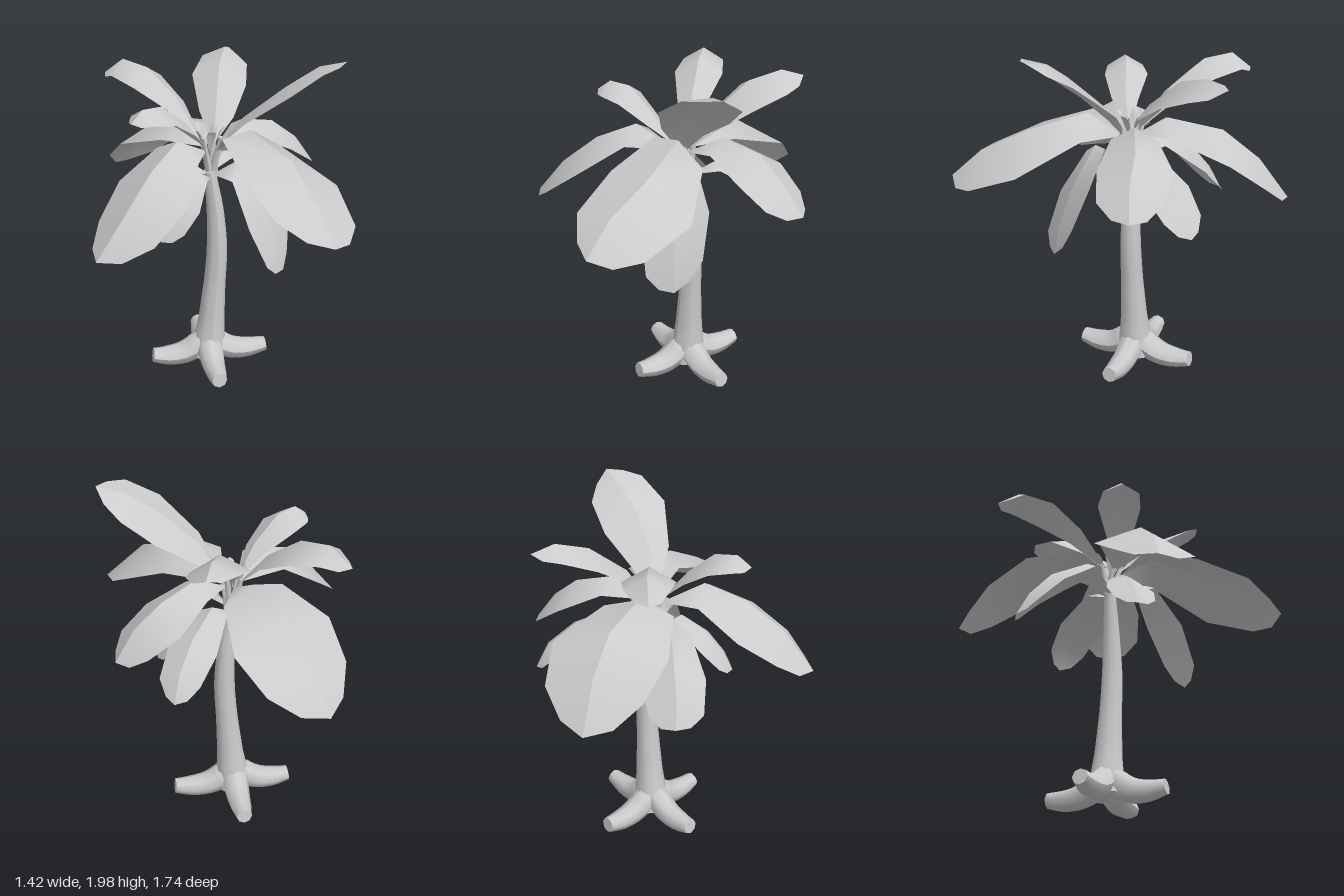
import * as THREE from 'three';

const mat = new THREE.MeshStandardMaterial({ color: 0xcccccc });
const leafMat = new THREE.MeshStandardMaterial({ color: 0xcccccc, side: THREE.DoubleSide });
const V = (p) => new THREE.Vector3(...p);

// Tapering limb: a ring at each sample of a smooth path, closed by flat caps
function limb(name, points, radii, sides = 8, steps = 12) {
  const curve = new THREE.CatmullRomCurve3(points.map(V));
  const geo = new THREE.TubeGeometry(curve, steps, 1, sides);
  const pos = geo.attributes.position, c = new THREE.Vector3(), v = new THREE.Vector3();
  const radiusAt = (t) => {
    const f = t * (radii.length - 1), i = Math.min(Math.floor(f), radii.length - 2);
    return THREE.MathUtils.lerp(radii[i], radii[i + 1], f - i);
  };
  for (let i = 0; i < pos.count; i++) {
    const t = Math.floor(i / (sides + 1)) / steps;
    curve.getPointAt(t, c);
    v.fromBufferAttribute(pos, i).sub(c).multiplyScalar(radiusAt(t)).add(c);
    pos.setXYZ(i, v.x, v.y, v.z);
  }
  geo.computeVertexNormals();
  const group = new THREE.Group();
  group.name = name;
  group.add(new THREE.Mesh(geo, mat));
  for (const t of [0, 1]) {
    const cap = new THREE.Mesh(new THREE.CircleGeometry(radiusAt(t), sides), mat);
    cap.position.copy(curve.getPointAt(t));
    cap.lookAt(cap.position.clone().addScaledVector(curve.getTangentAt(t), t ? 1 : -1));
    group.add(cap);
  }
  group.children.forEach((m) => { m.name = name + 'Part'; });
  return group;
}

// Folded leaf: two smooth halves meeting in a crease along the midrib.
// droop lowers both edges, roll tips one edge up and the other down.
const SPREAD = [0.06, 0.62, 1, 0.84, 0.45];
function leaf(name, rib, width, roll = 0, droop = 0.45) {
  const mid = rib.map(V);
  const dir = mid[4].clone().sub(mid[2]).setY(0).normalize();
  const side = dir.clone().cross(new THREE.Vector3(0, 1, 0));
  const verts = [], index = [];
  for (const s of [1, -1]) {
    const base = verts.length / 3;
    mid.forEach((m, i) => {
      const w = width * SPREAD[i];
      const edge = m.clone();
      if (i === 4) edge.lerp(mid[3], 0.35); // shoulders sit behind the tip
      edge.addScaledVector(side, s * w);
      edge.y += w * (s * roll - droop);
      verts.push(m.x, m.y, m.z, edge.x, edge.y, edge.z);
      if (i < 4) {
        const a = base + i * 2;
        index.push(...(s > 0 ? [a, a + 1, a + 2, a + 1, a + 3, a + 2]
          : [a, a + 2, a + 1, a + 1, a + 2, a + 3]));
      }
    });
  }
  const geo = new THREE.BufferGeometry();
  geo.setAttribute('position', new THREE.Float32BufferAttribute(verts, 3));
  geo.setIndex(index);
  geo.computeVertexNormals();
  const mesh = new THREE.Mesh(geo, leafMat);
  mesh.name = name;
  return mesh;
}

export function createModel() {
  const tree = new THREE.Group();
  tree.name = 'palmTree';

  // Gently bending trunk
  tree.add(limb('trunk',
    [[0, 0.06, -0.06], [0.012, 0.2, -0.06], [0.035, 0.5, -0.055], [0.052, 0.8, -0.05], [0.04, 1.05, -0.05], [0.005, 1.3, -0.045]],
    [0.11, 0.08, 0.066, 0.061, 0.05, 0.035], 10, 20));

  // Four roots spreading in a cross, blunt at the ends
  for (const [i, reach] of [0.365, 0.35, 0.345, 0.355].entries()) {
    const a = (i * Math.PI) / 2;
    const out = (r, y) => [Math.cos(a) * r, y, -0.06 + Math.sin(a) * r];
    tree.add(limb('root', [out(0, 0.2), out(0.06, 0.13), out(0.15, 0.08), out(0.25, 0.068), out(reach, 0.08)],
      [0.06, 0.08, 0.072, 0.062, 0.045]));
  }

  // Thin stalks that carry the crown
  const stalks = [
    [-0.04, 1.52, 0], [0.06, 1.52, 0.01], [-0.04, 1.5, -0.08], [0.04, 1.52, -0.08],
  ];
  for (const [x, y, z] of stalks)
    tree.add(limb('stalk', [[0.025, 1.15, -0.05], [0.01 + x * 0.4, 1.35, -0.04 + z * 0.3], [x, y, z]], [0.028, 0.022, 0.012], 6, 6));

  // Short husks around the heart of the crown
  for (let i = 0; i < 5; i++) {
    const a = i * 1.26 + 0.3, c = Math.cos(a), s = Math.sin(a);
    const p = (r, y) => [c * r, y, s * r - 0.04];
    tree.add(leaf('husk', [p(0.02, 1.42), p(0.04, 1.48), p(0.06, 1.54), p(0.08, 1.57), p(0.1, 1.57)], 0.025));
  }

  // Upper leaves
  tree.add(
    leaf('upperLeaf', [[0.03, 1.45, 0], [0.17, 1.66, 0.09], [0.38, 1.84, 0.16], [0.56, 1.95, 0.18], [0.7, 1.98, 0.22]], 0.2, 0.3, 0.28),
    leaf('upperLeaf', [[-0.03, 1.47, 0], [-0.15, 1.64, 0.08], [-0.29, 1.77, 0.14], [-0.4, 1.78, 0.2], [-0.47, 1.72, 0.24]], 0.125, 0, 0.6),
    leaf('upperLeaf', [[-0.03, 1.47, -0.06], [-0.16, 1.7, -0.2], [-0.3, 1.84, -0.34], [-0.42, 1.86, -0.46], [-0.52, 1.76, -0.54]], 0.14, 0, 0.6),
    leaf('upperLeaf', [[0.03, 1.47, -0.06], [0.07, 1.65, -0.17], [0.13, 1.82, -0.38], [0.2, 1.87, -0.55], [0.25, 1.83, -0.67]], 0.16, -0.15, 0.6),
  );

  // Broad leaves arching outward
  tree.add(
    leaf('broadLeaf', [[0.05, 1.45, 0.02], [0.2, 1.6, 0.14], [0.36, 1.51, 0.42], [0.42, 1.37, 0.7], [0.47, 1.21, 0.87]], 0.285, 0.25, 0.4),
    leaf('broadLeaf', [[-0.04, 1.45, 0.01], [-0.21, 1.57, 0.15], [-0.38, 1.47, 0.31], [-0.54, 1.3, 0.45], [-0.71, 1.08, 0.53]], 0.265, 0, 0.5),
    leaf('broadLeaf', [[0.05, 1.45, -0.04], [0.22, 1.56, -0.15], [0.42, 1.5, -0.25], [0.58, 1.37, -0.29], [0.69, 1.21, -0.34]], 0.205, 0, 0.55),
    leaf('broadLeaf', [[-0.02, 1.45, -0.07], [-0.08, 1.54, -0.22], [-0.18, 1.48, -0.51], [-0.27, 1.31, -0.7], [-0.36, 1.07, -0.85]], 0.325, 0, 0.32),
  );

  // Lower drooping leaves
  tree.add(
    leaf('lowerLeaf', [[0.03, 1.3, 0], [0.15, 1.4, 0.12], [0.26, 1.2, 0.2], [0.34, 0.96, 0.26], [0.37, 0.79, 0.28]], 0.185, -0.35, 0.25),
    leaf('lowerLeaf', [[-0.02, 1.3, -0.02], [-0.2, 1.42, -0.1], [-0.38, 1.29, -0.24], [-0.49, 1.13, -0.32], [-0.54, 0.99, -0.37]], 0.175, 0, 0.65),
    leaf('lowerLeaf', [[0.03, 1.3, -0.06], [0.14, 1.4, -0.18], [0.28, 1.32, -0.37], [0.37, 1.2, -0.5], [0.41, 1.06, -0.57]], 0.14),
    leaf('lowerLeaf', [[-0.01, 1.28, 0], [-0.1, 1.36, 0.08], [-0.2, 1.27, 0.17], [-0.28, 1.15, 0.23], [-0.33, 1.03, 0.27]], 0.14, 0, 0.55),
  );
  return tree;
}
